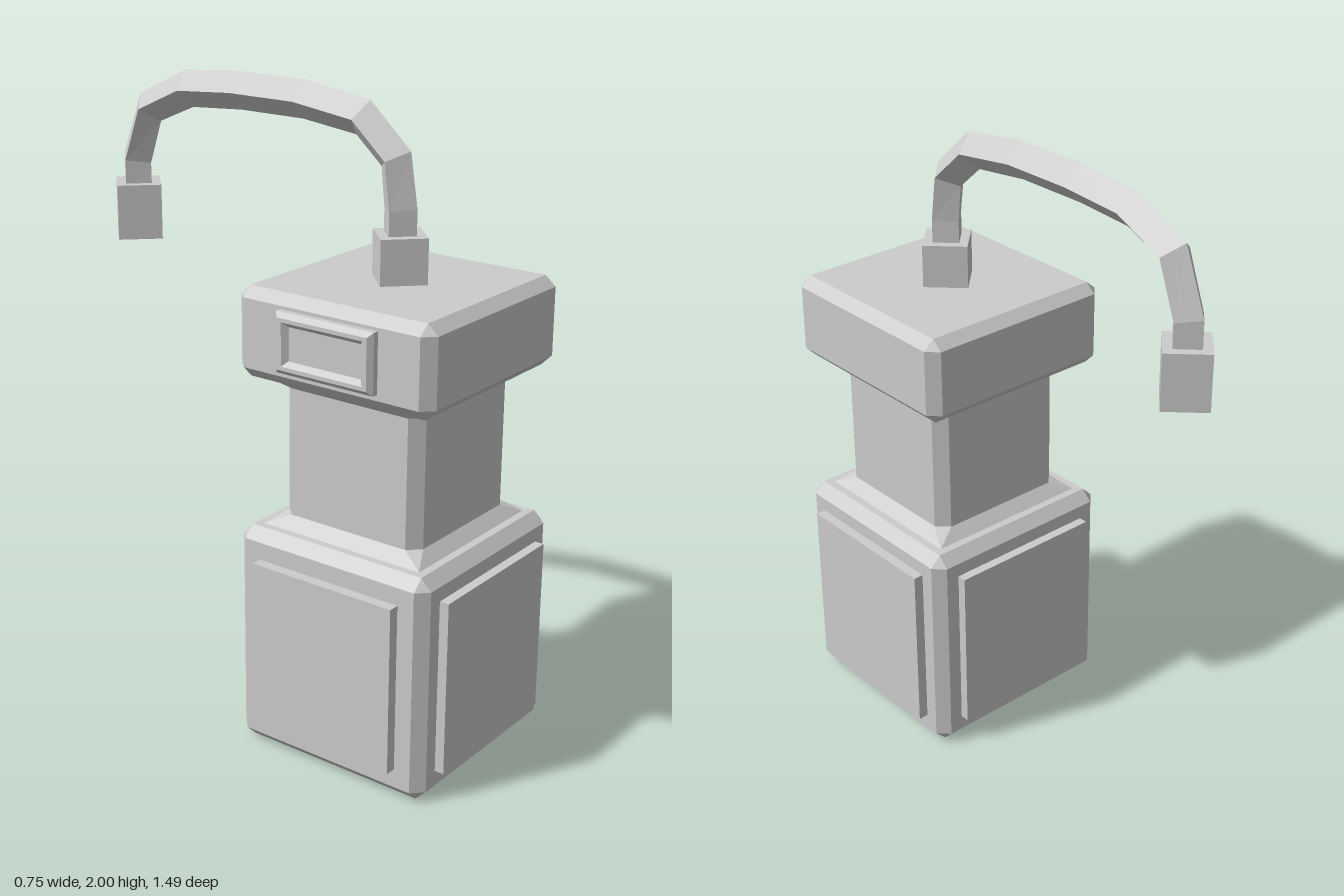
import * as THREE from 'three';

const material = new THREE.MeshStandardMaterial({ color: 0xcccccc, flatShading: true });
const BODY_Z = 0.375;

// Joins equal-sized rings of points into a closed, flat-shaded solid
function loft(rings) {
  const pos = [];
  const tri = (a, b, c) => {
    if (a.equals(b) || b.equals(c) || c.equals(a)) return;
    for (const p of [a, b, c]) pos.push(p.x, p.y, p.z);
  };
  const n = rings[0].length;
  for (let i = 0; i < rings.length - 1; i++) {
    for (let j = 0; j < n; j++) {
      const k = (j + 1) % n, r = rings[i], s = rings[i + 1];
      tri(r[j], r[k], s[k]);
      tri(r[j], s[k], s[j]);
    }
  }
  const first = rings[0], last = rings[rings.length - 1];
  for (let j = 1; j < n - 1; j++) {
    tri(first[0], first[j + 1], first[j]);
    tri(last[0], last[j], last[j + 1]);
  }
  const g = new THREE.BufferGeometry();
  g.setAttribute('position', new THREE.Float32BufferAttribute(pos, 3));
  g.computeVertexNormals();
  return g;
}

// Level square of half width h with its corners cut by c
function squareRing(y, h, c) {
  const i = h - c;
  return [[-i, h], [i, h], [h, i], [h, -i], [i, -h], [-i, -h], [-h, -i], [-h, i]]
    .map(([x, z]) => new THREE.Vector3(x, y, z));
}

export function createModel() {
  const model = new THREE.Group();
  const add = (parent, name, geometry, x = 0, y = 0, z = 0) => {
    const mesh = new THREE.Mesh(geometry, material);
    mesh.name = name;
    mesh.position.set(x, y, z);
    parent.add(mesh);
    return mesh;
  };

  // Body: bevelled base, narrow neck and bevelled head as [y, half width, corner cut]
  const profile = [
    [0, 0.305, 0], [0.035, 0.34, 0.035], [0.68, 0.34, 0.035], [0.715, 0.305, 0],
    [0.715, 0.28, 0], [0.75, 0.243, 0.037], [1.15, 0.243, 0.037], [1.185, 0.28, 0],
    [1.185, 0.305, 0], [1.22, 0.34, 0.035], [1.43, 0.34, 0.035], [1.46, 0.305, 0],
  ];
  add(model, 'body', loft(profile.map((p) => squareRing(...p))), 0, 0, BODY_Z);

  // Raised panels on the four sides of the base
  const panels = new THREE.Group();
  panels.name = 'basePanels';
  model.add(panels);
  const panel = (name, w, h, d, x, z) =>
    add(panels, name, new THREE.BoxGeometry(w, h, d), x, 0.36, BODY_Z + z);
  panel('frontPanel', 0.52, 0.55, 0.05, 0, 0.345);
  panel('backPanel', 0.52, 0.55, 0.05, 0, -0.345);
  panel('leftPanel', 0.05, 0.55, 0.52, 0.347, 0);
  panel('rightPanel', 0.05, 0.53, 0.5, -0.35, 0);

  // Window on the right of the head: bevelled frame around an inset plate
  const window = new THREE.Group();
  window.name = 'headWindow';
  window.position.set(-0.34, 1.33, BODY_Z);
  window.rotation.y = -Math.PI / 2;
  model.add(window);
  const rectangle = (path, w, h) =>
    path.moveTo(-w, -h).lineTo(w, -h).lineTo(w, h).lineTo(-w, h).closePath();
  const frameShape = rectangle(new THREE.Shape(), 0.155, 0.077);
  frameShape.holes.push(rectangle(new THREE.Path(), 0.14, 0.065));
  add(window, 'windowFrame', new THREE.ExtrudeGeometry(frameShape, {
    depth: 0.018, bevelEnabled: true, bevelThickness: 0.015, bevelSize: 0.014, bevelSegments: 1,
  }), 0, 0, 0.002);
  add(window, 'windowPlate', new THREE.BoxGeometry(0.28, 0.13, 0.02), 0, 0, 0.007);

  // Square cable standing on one edge, arching over to the back: [z, y]
  const path = [
    [0.374, 1.58], [0.374, 1.67], [0.355, 1.81], [0.238, 1.915], [0.025, 1.943],
    [-0.215, 1.943], [-0.42, 1.928], [-0.583, 1.853], [-0.645, 1.685], [-0.645, 1.59],
  ].map(([z, y]) => new THREE.Vector3(0, y, z));
  const r = 0.0575;
  const side = new THREE.Vector3(1, 0, 0);
  const cableRings = path.map((p, i) => {
    const into = p.clone().sub(path[Math.max(i - 1, 0)]).normalize();
    const out = path[Math.min(i + 1, path.length - 1)].clone().sub(p).normalize();
    const across = new THREE.Vector3().crossVectors(side, into.add(out).normalize());
    return [[across, r], [side, r], [across, -r], [side, -r]]
      .map(([dir, d]) => p.clone().addScaledVector(dir, d));
  });
  add(model, 'cable', loft(cableRings));

  // Sockets at both cable ends
  const socket = (name, bottom, top, z) =>
    add(model, name, new THREE.CylinderGeometry(0.098, 0.098, top - bottom, 4), 0, (bottom + top) / 2, z);
  socket('headSocket', 1.45, 1.597, BODY_Z);
  socket('cablePlug', 1.435, 1.61, -0.645);

  return model;
}
